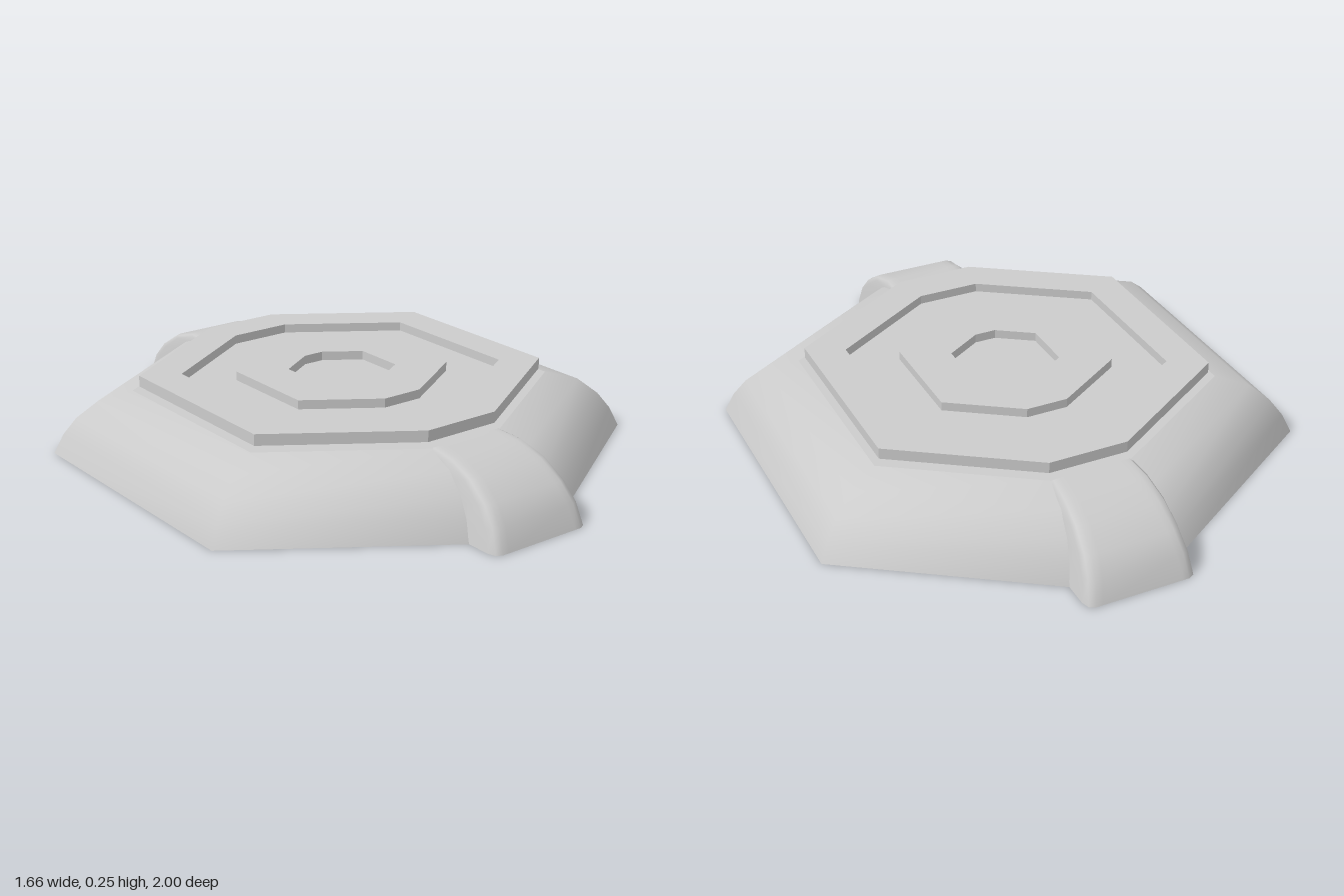
import * as THREE from 'three';

const material = new THREE.MeshStandardMaterial({ color: 0xcccccc });

// Hexagon with two clipped tips, as [x, z]; every layer is a scaled copy
const OUTLINE = [
  [0.6, 0.34], [0.6, -0.34], [0.155, -0.64], [-0.12, -0.64],
  [-0.6, -0.34], [-0.6, 0.34], [-0.155, 0.64], [0.12, 0.64],
];
const ring = (s) => OUTLINE.map(([x, z]) => [x * s, z * s]);
const toShape = (pts, sign) => new THREE.Shape(pts.map(([x, z]) => new THREE.Vector2(x, sign * z)));

function part(name, geometry) {
  const mesh = new THREE.Mesh(geometry, material);
  mesh.name = name;
  return mesh;
}

// Smooth skin through rows of [x, y, z] points
function loft(rows, closed) {
  const n = rows[0].length;
  const index = [];
  for (let i = 0; i < rows.length - 1; i++) {
    for (let j = 0; j < (closed ? n : n - 1); j++) {
      const a = i * n + j, b = i * n + (j + 1) % n;
      index.push(a, b, b + n, a, b + n, a + n);
    }
  }
  const g = new THREE.BufferGeometry();
  g.setAttribute('position', new THREE.Float32BufferAttribute(rows.flat(2), 3));
  g.setIndex(index);
  g.computeVertexNormals();
  return g;
}

// Horizontal cap facing down or up
const capDown = (pts) => new THREE.ShapeGeometry(toShape(pts, 1)).rotateX(Math.PI / 2);
const capUp = (pts, y) => new THREE.ShapeGeometry(toShape(pts, -1)).rotateX(-Math.PI / 2).translate(0, y, 0);

// Upright slab of the outline, with an optional hole of the same form
function slab(scale, holeScale, y0, y1) {
  const shape = toShape(ring(scale), -1);
  if (holeScale) shape.holes.push(toShape(ring(holeScale), -1));
  return new THREE.ExtrudeGeometry(shape, { depth: y1 - y0, bevelEnabled: false })
    .rotateX(-Math.PI / 2).translate(0, y0, 0);
}

// Rounded lug over the front tip, tapering towards the top
function createLug(name) {
  const outer = [[1, 0], [0.97, 0.07], [0.92, 0.125], [0.84, 0.175], [0.74, 0.203], [0.64, 0.207]];
  const inner = [[0.86, 0], [0.84, 0.05], [0.8, 0.1], [0.74, 0.15], [0.68, 0.18], [0.63, 0.19]];
  // [inset from the side, share of the way from inner to outer]
  const corner = [[0, 0], [0, 0.75], [0.008, 0.93], [0.028, 1], [0.05, 1]];
  const rows = outer.map(([oz, oy], i) => {
    const k = i / (outer.length - 1);
    const left = THREE.MathUtils.lerp(-0.215, -0.155, k);
    const right = THREE.MathUtils.lerp(0.15, 0.12, k);
    const at = (x, t) => [x, THREE.MathUtils.lerp(inner[i][1], oy, t), THREE.MathUtils.lerp(inner[i][0], oz, t)];
    return [
      ...corner.map(([d, t]) => at(left + d, t)),
      ...[...corner].reverse().map(([d, t]) => at(right - d, t)),
    ];
  });
  const lug = new THREE.Group();
  lug.name = name;
  lug.add(part('lugShell', loft(rows, false)));
  lug.add(part('lugUnderside', capDown(rows[0].map(([x, , z]) => [x, z]))));
  return lug;
}

export function createModel() {
  const model = new THREE.Group();
  model.name = 'hexagonalPlatform';

  // Domed base: [outline scale, height]
  const profile = [[1.383, 0], [1.335, 0.065], [1.27, 0.12], [1.165, 0.175], [1, 0.205]];
  const rows = profile.map(([s, y]) => ring(s).map(([x, z]) => [x, y, z]));
  model.add(part('baseSide', loft(rows, true)));
  model.add(part('baseTop', capUp(ring(1), 0.205)));
  model.add(part('baseUnderside', capDown(ring(1.383))));

  // Lugs at the two tips
  const backLug = createLug('backLug');
  backLug.rotation.y = Math.PI;
  model.add(createLug('frontLug'), backLug);

  // Recessed neck, which is also the floor of the grooves, and the raised rings
  model.add(part('neck', slab(0.867, 0, 0.2, 0.225)));
  model.add(part('outerRing', slab(0.967, 0.767, 0.218, 0.255)));
  model.add(part('innerRing', slab(0.508, 0.258, 0.218, 0.255)));

  return model;
}
